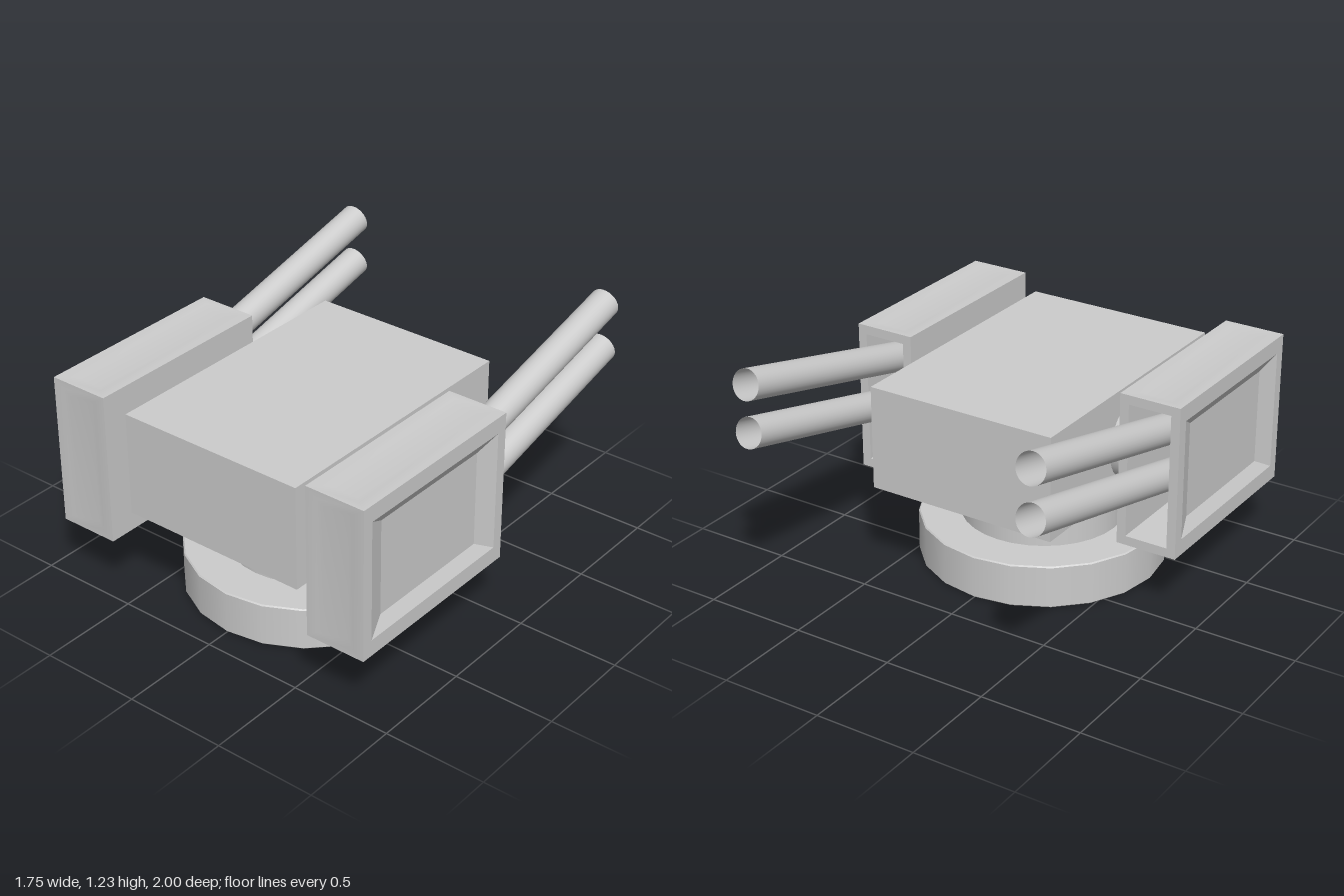
import * as THREE from 'three';
import { mergeVertices } from 'three/addons/utils/BufferGeometryUtils.js';

const grey = new THREE.MeshStandardMaterial({ color: 0xcccccc });
const greyThin = new THREE.MeshStandardMaterial({ color: 0xcccccc, side: THREE.DoubleSide });

function add(parent, name, geometry, x = 0, y = 0, z = 0, material = grey) {
  const mesh = new THREE.Mesh(geometry, material);
  mesh.name = name;
  mesh.position.set(x, y, z);
  parent.add(mesh);
  return mesh;
}

// Rectangular panel facing +z, stepped through loops of [half width, half height, depth]
function panel(loops, smooth = false) {
  const ring = ([w, h, d]) => [[-w, -h, -d], [w, -h, -d], [w, h, -d], [-w, h, -d]];
  const rings = loops.map(ring);
  const pos = [];
  const quad = (a, b, c, d) => pos.push(...a, ...b, ...c, ...a, ...c, ...d);
  for (let i = 0; i + 1 < rings.length; i++) {
    for (let k = 0; k < 4; k++) {
      const n = (k + 1) % 4;
      quad(rings[i][k], rings[i][n], rings[i + 1][n], rings[i + 1][k]);
    }
  }
  quad(...rings[rings.length - 1]);
  let geometry = new THREE.BufferGeometry();
  geometry.setAttribute('position', new THREE.Float32BufferAttribute(pos, 3));
  if (smooth) geometry = mergeVertices(geometry);
  geometry.computeVertexNormals();
  return geometry;
}

// Panel with a shallow, softly shaded recess
const softPanel = (w, h) => panel([
  [w, h, 0], [w - 0.055, h - 0.04, 0], [w - 0.085, h - 0.07, 0.008],
], true);

// Hollow pod, open at the back, with recessed faces and two barrels
function createPod(side) {
  const pod = new THREE.Group();
  pod.name = side > 0 ? 'leftPod' : 'rightPod';
  const W = 0.152, H = 0.375, D = 0.496, wall = 0.045;
  const podX = 0.722, podY = 0.69, podZ = 0.503;
  pod.position.set(side * podX, podY, podZ);

  const outer = panel([[D, H, 0], [D - 0.055, H - 0.08, 0], [D - 0.16, H - 0.14, 0.035]]);
  add(pod, 'outerPanel', outer, side * W).rotation.y = side * Math.PI / 2;
  add(pod, 'innerPanel', panel([[D, H, 0]]), -side * W).rotation.y = -side * Math.PI / 2;
  add(pod, 'frontPanel', softPanel(W, H), 0, 0, D);
  const lid = softPanel(W, D);
  add(pod, 'topPanel', lid, 0, H).rotation.x = -Math.PI / 2;
  add(pod, 'bottomPanel', lid, 0, -H).rotation.x = Math.PI / 2;
  const cavity = panel([[W, H, 0], [W - wall, H - wall, 0], [W - wall, H - wall, 0.9]]);
  add(pod, 'backOpening', cavity, 0, 0, -D, greyThin).rotation.y = Math.PI;

  // Barrels rise towards the back
  const slope = 0.245, zStart = 0.35, zEnd = -0.983;
  const length = (zStart - zEnd) * Math.hypot(1, slope);
  for (const [name, yEnd] of [['upperBarrel', 1.155], ['lowerBarrel', 0.922]]) {
    const tube = new THREE.CylinderGeometry(0.073, 0.073, length, 32, 1, true);
    const y = yEnd - slope * (zStart - zEnd) / 2;
    const barrel = add(pod, name, tube,
      side * (0.737 - podX), y - podY, (zStart + zEnd) / 2 - podZ, greyThin);
    barrel.rotation.x = -Math.PI / 2 + Math.atan(slope);
  }
  return pod;
}

export function createModel() {
  const model = new THREE.Group();
  model.name = 'turret';
  const axisZ = 0.28;

  // Round base with softened rims
  const base = new THREE.Group();
  base.name = 'base';
  model.add(base);
  const disc = (name, top, bottom, y0, y1, sides) => add(base, name,
    new THREE.CylinderGeometry(top, bottom, y1 - y0, sides), 0, (y0 + y1) / 2, axisZ);
  disc('baseLowerRim', 0.6, 0.594, 0, 0.006, 20);
  disc('baseDisc', 0.6, 0.6, 0.006, 0.209, 20);
  disc('baseUpperRim', 0.594, 0.6, 0.209, 0.215, 20);
  disc('neck', 0.398, 0.398, 0.215, 0.5, 32);

  // Main body
  add(model, 'body', new THREE.BoxGeometry(0.964, 0.51, 1.383), 0, 0.742, 0.265);

  // Cross axle carrying the pods
  const axle = new THREE.CylinderGeometry(0.195, 0.195, 1.2, 32);
  add(model, 'axle', axle, 0, 0.715, 0.275).rotation.z = Math.PI / 2;

  for (const side of [1, -1]) model.add(createPod(side));
  return model;
}
